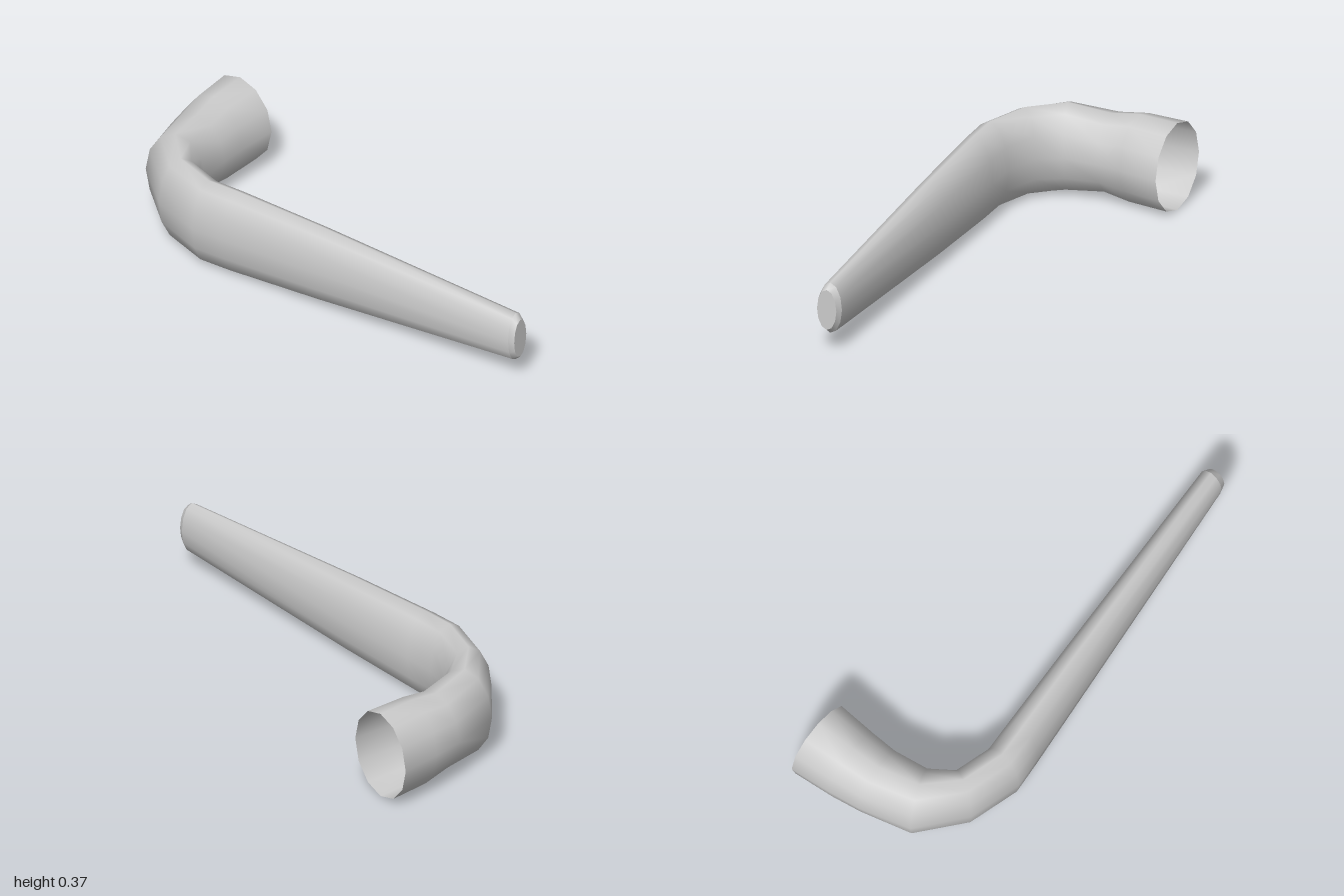
import * as THREE from 'three';

const SIDES = 12;
const MID_Y = 0.1875;

// Cross-sections along the bent tube: outer x, outer z, inner x, inner z, half height
const pipeRings = [
  [0.35, -1.0, 0.355, -0.68, 0.187],
  [0.18, -0.975, 0.185, -0.685, 0.187],
  [0.05, -0.95, 0.08, -0.682, 0.166],
  [-0.16, -0.88, -0.06, -0.66, 0.187],
  [-0.305, -0.685, -0.145, -0.6, 0.187],
  [-0.358, -0.465, -0.18, -0.455, 0.187],
  [-0.339, -0.33, -0.166, -0.32, 0.187],
  [-0.276, 0.08, -0.126, 0.07, 0.169],
  [-0.138, 0.975, -0.037, 0.965, 0.108],
];
const tipRing = [-0.13, 1.0, -0.047, 0.99, 0.086];
const tipCentre = [-0.0885, 0.995, -0.0885, 0.995, 0];

// Skins a row of elliptical rings
function loft(rings, name, material) {
  const positions = [];
  const index = [];
  rings.forEach(([ox, oz, ix, iz, h], i) => {
    for (let j = 0; j < SIDES; j++) {
      const a = (j / SIDES) * Math.PI * 2;
      const c = Math.cos(a) / 2;
      positions.push(
        (ox + ix) / 2 + (ox - ix) * c,
        MID_Y + h * Math.sin(a),
        (oz + iz) / 2 + (oz - iz) * c
      );
      if (i === rings.length - 1) continue;
      const p = i * SIDES + j;
      const q = i * SIDES + ((j + 1) % SIDES);
      index.push(p, p + SIDES, q, q, p + SIDES, q + SIDES);
    }
  });
  const geometry = new THREE.BufferGeometry();
  geometry.setAttribute('position', new THREE.Float32BufferAttribute(positions, 3));
  geometry.setIndex(index);
  geometry.computeVertexNormals();
  const mesh = new THREE.Mesh(geometry, material);
  mesh.name = name;
  return mesh;
}

export function createModel() {
  const group = new THREE.Group();
  group.name = 'bentHandle';
  const material = new THREE.MeshStandardMaterial({ color: 0xcccccc, side: THREE.DoubleSide });

  // Open socket, elbow and tapering grip in one smooth skin
  group.add(loft(pipeRings, 'tubeBody', material));
  // Chamfer and flat closed end, kept separate for crisp edges
  group.add(loft([pipeRings[pipeRings.length - 1], tipRing], 'tipChamfer', material));
  group.add(loft([tipRing, tipCentre], 'tipCap', material));
  return group;
}
